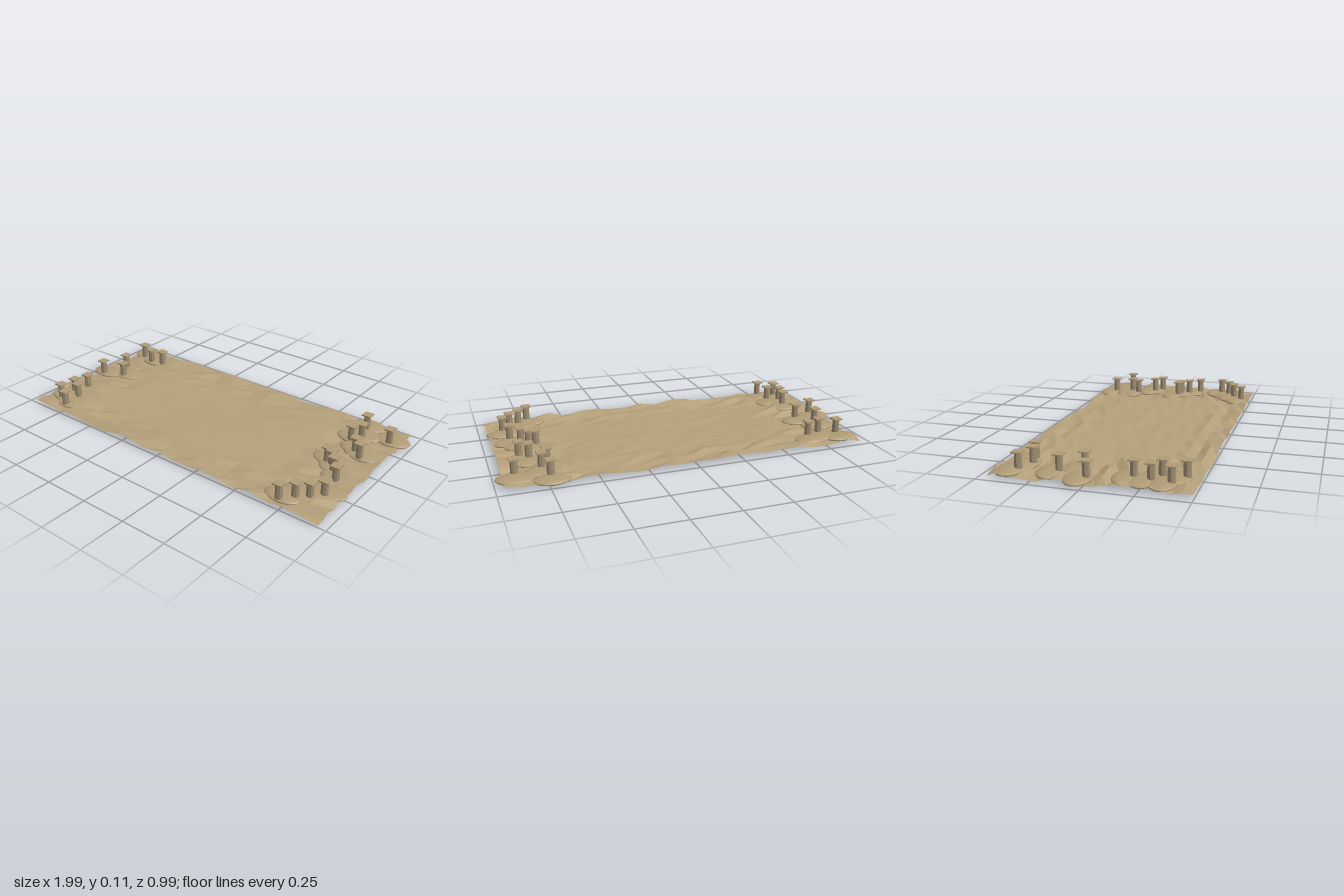
import * as THREE from 'three';

export function createModel() {
  const root = new THREE.Group();
  const sand = new THREE.MeshStandardMaterial({ color: 0xb5a07a, flatShading: true, side: THREE.DoubleSide });
  const earth = new THREE.MeshStandardMaterial({ color: 0xb09b76 });
  const stone = new THREE.MeshStandardMaterial({ color: 0x9d8d72, flatShading: true });
  const capStone = new THREE.MeshStandardMaterial({ color: 0xb09b76 });

  // Seeded noise in -1..1
  let seed = 7;
  const rand = () => {
    seed = (seed * 16807) % 2147483647;
    return (seed / 2147483647) * 2 - 1;
  };

  // Rough ground sheet: gentle in the middle, lumpier towards the rim
  const ground = new THREE.PlaneGeometry(1.91, 0.96, 20, 20).rotateX(-Math.PI / 2).translate(0, 0, 0.015);
  const pos = ground.attributes.position;
  for (let i = 0; i < pos.count; i++) {
    const x = pos.getX(i), z = pos.getZ(i);
    const rim = Math.abs(x) > 0.65 || Math.abs(z - 0.015) > 0.3;
    const wave = 0.003 * Math.sin(x * 7 + z * 5);
    const y = 0.021 + wave + rand() * (rim ? 0.013 : 0.003);
    pos.setY(i, Math.max(0.002, y));
  }
  ground.computeVertexNormals();
  const groundMesh = new THREE.Mesh(ground, sand);
  groundMesh.name = 'ground';
  root.add(groundMesh);

  // Pillars as [x, z]; each stands on the front part of its own mound
  const spots = [
    [-0.87, -0.345], [-0.78, -0.31], [-0.705, -0.33], [-0.85, -0.15], [-0.78, -0.05], [-0.9, 0],
    [-0.83, 0.2], [-0.85, 0.285], [-0.785, 0.32], [-0.86, 0.38], [-0.77, 0.43],
    [0.73, -0.39], [0.895, -0.325], [0.755, -0.285], [0.72, -0.235], [0.795, -0.14], [0.84, -0.1],
    [0.73, 0.03], [0.765, 0.045], [0.8, 0.09], [0.85, 0.155],
    [0.87, 0.295], [0.825, 0.35], [0.77, 0.39], [0.715, 0.445],
  ];
  const moundGeo = new THREE.SphereGeometry(1, 24, 12);
  const shaftGeo = new THREE.CylinderGeometry(0.018, 0.02, 0.09, 8);
  const capGeo = new THREE.BoxGeometry(0.05, 0.007, 0.05);

  const add = (group, name, geo, mat, x, y, z) => {
    const mesh = new THREE.Mesh(geo, mat);
    mesh.name = name;
    mesh.position.set(x, y, z);
    group.add(mesh);
    return mesh;
  };

  for (const [x, z] of spots) {
    const outpost = new THREE.Group();
    outpost.name = 'moundWithPillar';
    outpost.position.set(x, 0, z);
    add(outpost, 'mound', moundGeo, earth, 0, 0.021 + rand() * 0.001, -0.038)
      .scale.set(0.098 + rand() * 0.004, 0.016, 0.065 + rand() * 0.004);
    add(outpost, 'pillarShaft', shaftGeo, stone, 0, 0.061, 0);
    add(outpost, 'pillarCap', capGeo, capStone, 0, 0.1085, 0);
    root.add(outpost);
  }
  return root;
}
